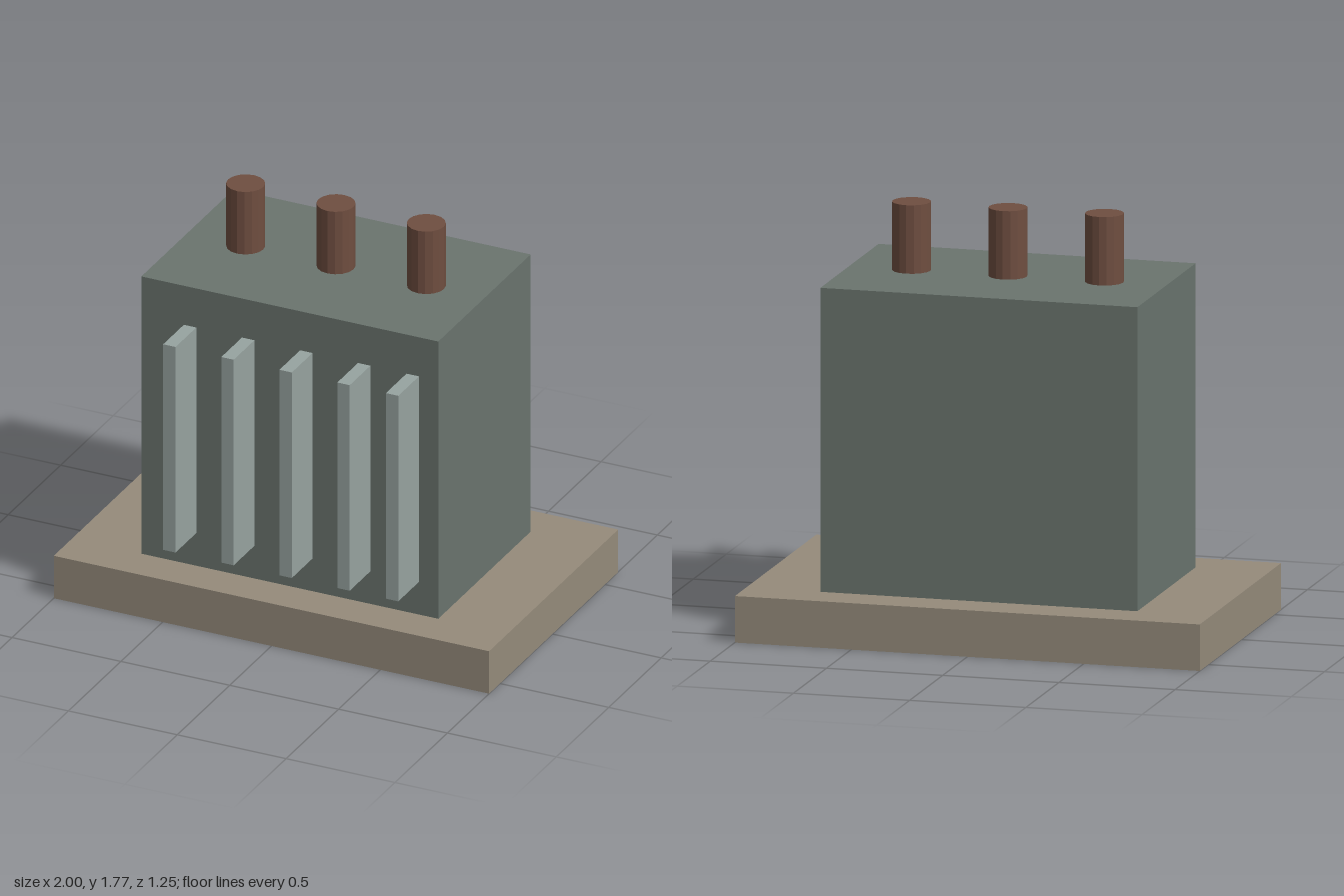
import * as THREE from 'three';

const paint = (name, color, flatShading = false) => {
  const m = new THREE.MeshStandardMaterial({ color, flatShading });
  m.name = name;
  return m;
};

export function createModel() {
  const model = new THREE.Group();
  model.name = 'transformer';

  const concrete = paint('concrete', 0x958b7b);
  const steel = paint('greenGreySteel', 0x6a746e);
  const finGrey = paint('paleFinGrey', 0x97a3a0);
  const ceramic = paint('brownCeramic', 0x6f4e40, true);

  const add = (name, geometry, material, x, y, z, parent = model) => {
    const mesh = new THREE.Mesh(geometry, material);
    mesh.name = name;
    mesh.position.set(x, y, z);
    parent.add(mesh);
  };

  const centreZ = -0.0125;

  // Base slab and tank
  add('baseSlab', new THREE.BoxGeometry(2, 0.197, 1.23), concrete, 0, 0.0985, centreZ);
  add('tank', new THREE.BoxGeometry(1.364, 1.288, 0.88), steel, 0, 0.841, centreZ);

  // Cooling fins on the front, the last one set closer to its neighbour
  const fins = new THREE.Group();
  fins.name = 'coolingFins';
  model.add(fins);
  const finGeometry = new THREE.BoxGeometry(0.057, 0.955, 0.197);
  [-0.458, -0.191, 0.076, 0.342, 0.565].forEach((x, i) =>
    add(`coolingFin${i + 1}`, finGeometry, finGrey, x, 0.8265, 0.5265, fins));

  // Bushings standing in a row on the tank
  const bushings = new THREE.Group();
  bushings.name = 'bushings';
  model.add(bushings);
  const bushingGeometry = new THREE.CylinderGeometry(0.081, 0.081, 0.29, 16);
  [-0.415, 0, 0.415].forEach((x, i) =>
    add(`bushing${i + 1}`, bushingGeometry, ceramic, x, 1.63, centreZ, bushings));

  return model;
}
